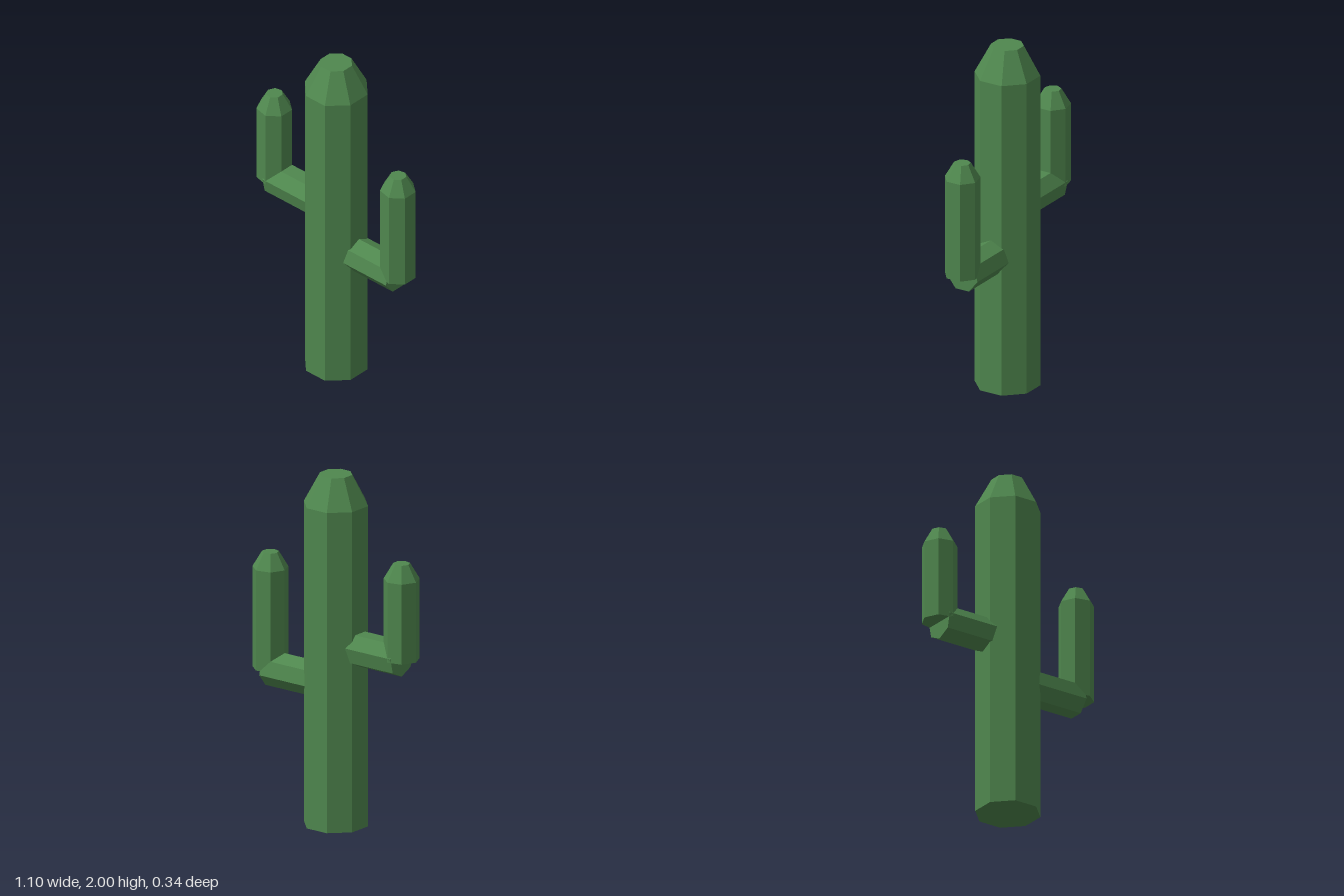
import * as THREE from 'three';

const green = new THREE.MeshStandardMaterial({ color: 0x4f874e, flatShading: true });
green.name = 'cactus green';

// Closed faceted column with a tapered tip
function column(name, sides, phase, radius, shoulder, tipRadius, top) {
  const profile = [[0, 0], [radius, 0], [radius, shoulder], [tipRadius, top], [0, top]]
    .map(([x, y]) => new THREE.Vector2(x, y));
  const mesh = new THREE.Mesh(new THREE.LatheGeometry(profile, sides, phase), green);
  mesh.name = name;
  return mesh;
}

// Horizontal branch out of the trunk plus an upright that rises from its end
function arm(name, side, branchY, uprightY, shoulder, top) {
  const group = new THREE.Group();
  group.name = name;
  const reach = 0.457;
  const branch = new THREE.Mesh(
    new THREE.CylinderGeometry(0.1, 0.1, reach, 7, 1, false, -Math.PI / 2), green);
  branch.name = name + 'Branch';
  branch.rotation.z = -side * Math.PI / 2;
  branch.position.set(side * reach / 2, branchY, 0);
  const upright = column(name + 'Upright', 7, -Math.PI / 2, 0.1,
    shoulder - uprightY, 0.047, top - uprightY);
  upright.position.set(side * reach, uprightY, 0);
  group.add(branch, upright);
  return group;
}

export function createModel() {
  const cactus = new THREE.Group();
  cactus.name = 'cactus';
  cactus.add(
    column('trunk', 8, Math.PI / 8, 0.182, 1.83, 0.091, 2),
    arm('leftArm', 1, 0.803, 0.803, 1.375, 1.465),
    arm('rightArm', -1, 1.03, 1.03, 1.487, 1.578)
  );
  cactus.position.x = 0.005;
  const model = new THREE.Group();
  model.add(cactus);
  return model;
}
